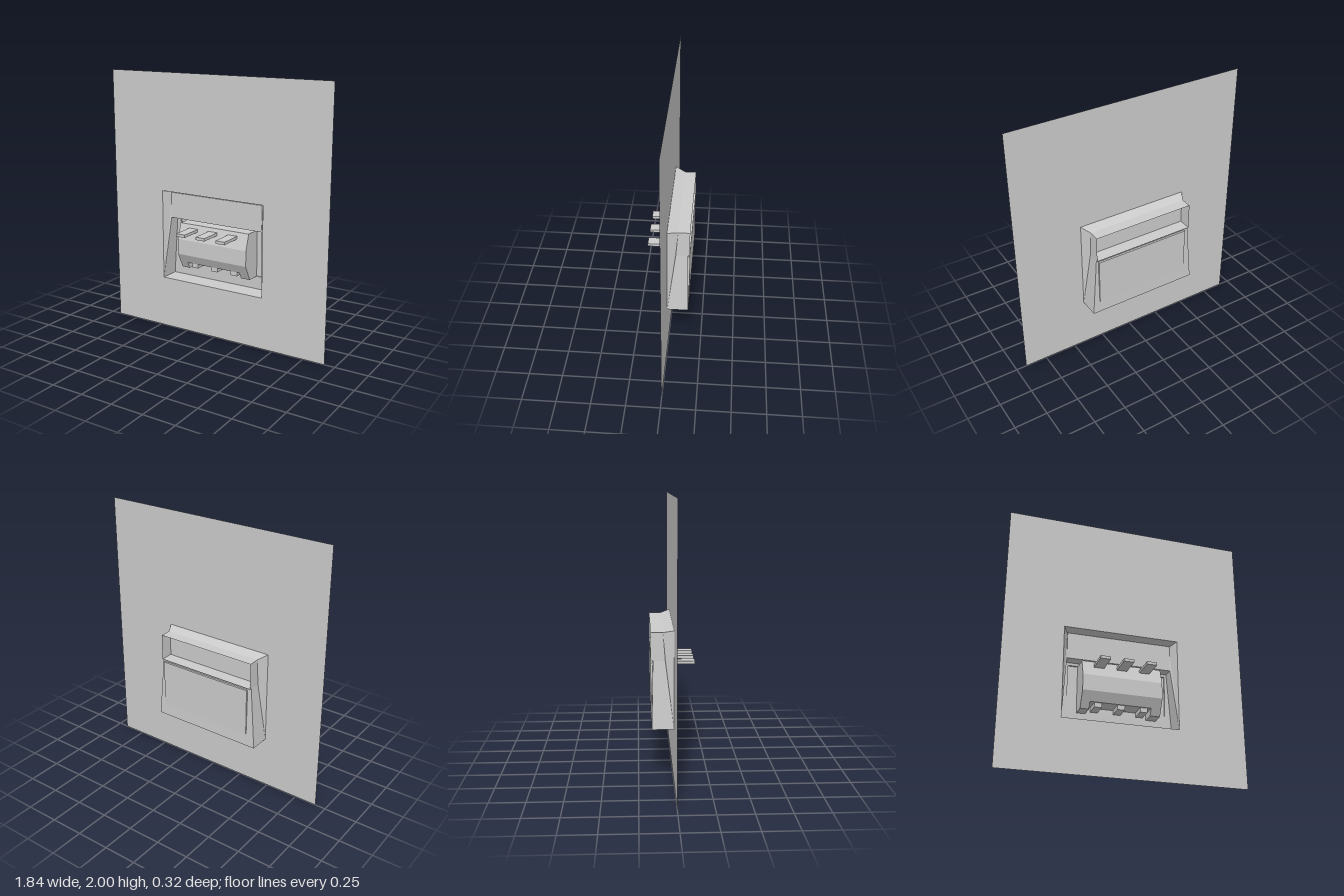
import * as THREE from 'three';

const mat = new THREE.MeshStandardMaterial({ color: 0xcccccc, flatShading: true, side: THREE.DoubleSide });

function add(parent, name, geometry) {
  const mesh = new THREE.Mesh(geometry, mat);
  mesh.name = name;
  parent.add(mesh);
  return mesh;
}

// Flat-shaded surface from planar polygons, each split as a fan
function faces(polys) {
  const pos = [];
  for (const p of polys)
    for (let i = 1; i < p.length - 1; i++) pos.push(...p[0], ...p[i], ...p[i + 1]);
  const g = new THREE.BufferGeometry();
  g.setAttribute('position', new THREE.Float32BufferAttribute(pos, 3));
  g.computeVertexNormals();
  return g;
}

const box = (x0, x1, y0, y1, z0, z1) =>
  new THREE.BoxGeometry(x1 - x0, y1 - y0, z1 - z0)
    .translate((x0 + x1) / 2, (y0 + y1) / 2, (z0 + z1) / 2);

// Extrude a [z, y] profile along x
function prism(profile, x0, x1) {
  const shape = new THREE.Shape(profile.map(([z, y]) => new THREE.Vector2(-z, y)));
  return new THREE.ExtrudeGeometry(shape, { depth: x1 - x0, bevelEnabled: false })
    .rotateY(Math.PI / 2).translate(x0, 0, 0);
}

const rect = (x0, x1, y0, y1) =>
  [[x0, y0], [x1, y0], [x1, y1], [x0, y1]].map(([x, y]) => new THREE.Vector2(x, y));

export function createModel() {
  const root = new THREE.Group();
  root.name = 'wallSocketPanel';

  // Wall plate with the opening
  const plate = new THREE.Shape(rect(-0.92, 0.92, 0, 2));
  plate.holes.push(new THREE.Path(rect(-0.47, 0.405, 0.4, 1.1)));
  add(root, 'wallPlate', new THREE.ShapeGeometry(plate));

  // Recess: outer edge at the opening, narrower towards the top at the back
  const oL = -0.47, oR = 0.405, iL = -0.43, iR = 0.365;
  const top = 1.08, mid = 0.88, zFace = -0.06, zMid = -0.145, zLow = -0.155, zBack = -0.16;
  const sides = [];
  for (const [o, i] of [[oL, iL], [oR, iR]]) {
    sides.push([
      [o, 0.4, 0], [o, 0.4, zLow], [i, mid, zMid], [i, mid, zFace],
      [i, top, -0.075], [o, 1.1, 0]]);
    sides.push([[i, mid, zFace], [i, top, zFace], [i, top, zBack], [i, mid, zBack]]);
  }
  add(root, 'recessSides', faces(sides));
  add(root, 'recessTop', faces([
    [[oL, 1.1, 0], [oR, 1.1, 0], [iR, top, -0.075], [iL, top, -0.075]],
    [[iL, top, -0.06], [iR, top, -0.06], [iR, top, zBack], [iL, top, zBack]]]));
  add(root, 'recessFloor', faces([
    [[oL, 0.4, 0], [oR, 0.4, 0], [oR, 0.4, zLow], [oL, 0.4, zLow]]]));

  // Upper face, set forward, and the ledge under it
  add(root, 'upperFace', faces([
    [[iL, mid, zFace], [iR, mid, zFace], [iR, top, zFace], [iL, top, zFace]],
    [[iL, mid, zFace], [iR, mid, zFace], [iR, mid, zBack], [iL, mid, zBack]]]));

  // Lower back wall, sheared to lean slightly, with a window for the socket pan
  const lower = new THREE.Shape([[oL, 0.4], [oR, 0.4], [iR, mid], [iL, mid]]
    .map(([x, y]) => new THREE.Vector2(x, y)));
  lower.holes.push(new THREE.Path(rect(-0.4, 0.35, 0.5, 0.86)));
  const wall = new THREE.ShapeGeometry(lower);
  const p = wall.attributes.position;
  const leanZ = y => zMid + (zLow - zMid) * (mid - y) / (mid - 0.4);
  for (let i = 0; i < p.count; i++) p.setZ(i, leanZ(p.getY(i)));
  wall.computeVertexNormals();
  add(root, 'lowerBackWall', wall);

  // Shallow pan behind the window
  const corners = [[-0.4, 0.5], [0.35, 0.5], [0.35, 0.86], [-0.4, 0.86]];
  const pan = [corners.map(([x, y]) => [x, y, zBack])];
  corners.forEach(([x, y], i) => {
    const [u, v] = corners[(i + 1) % 4];
    pan.push([[x, y, leanZ(y)], [u, v, leanZ(v)], [u, v, zBack], [x, y, zBack]]);
  });
  add(root, 'socketPan', faces(pan));

  // Socket block with chamfered front and a notch in its underside
  const socket = new THREE.Group();
  socket.name = 'socket';
  root.add(socket);
  add(socket, 'socketBody', prism([
    [-0.158, 0.55], [-0.026, 0.55], [0.01, 0.62], [0.01, 0.74], [-0.03, 0.86], [-0.158, 0.86]],
    -0.325, 0.275));
  for (const [x0, x1] of [[-0.325, -0.26], [0.2, 0.275]])
    add(socket, 'socketFoot', prism(
      [[-0.158, 0.5], [-0.052, 0.5], [-0.026, 0.55], [-0.158, 0.55]], x0, x1));

  // Prongs above and small contacts below
  for (const x of [-0.2, -0.027, 0.145]) {
    add(socket, 'prong', box(x - 0.038, x + 0.038, 0.81, 0.832, -0.06, 0.16));
    add(socket, 'contact', box(x + 0.01 - 0.035, x + 0.01 + 0.03 - 0.01, 0.515, 0.55, -0.15, -0.035));
  }
  return root;
}
